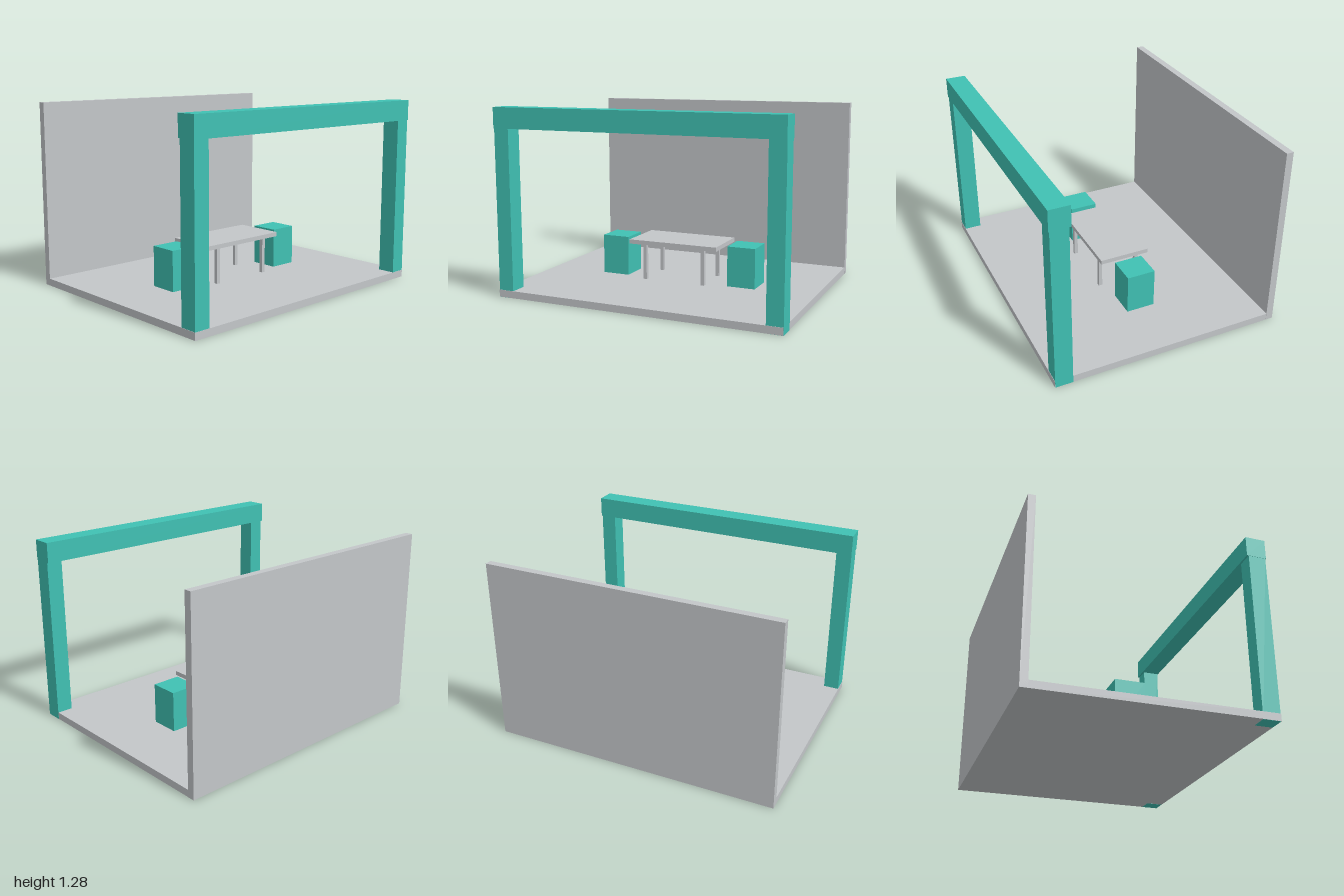
import * as THREE from 'three';

export function createModel() {
  const model = new THREE.Group();
  model.name = 'openRoom';

  const teal = new THREE.MeshStandardMaterial({ color: 0x40c1b3 });
  teal.name = 'teal';
  const gray = new THREE.MeshStandardMaterial({ color: 0xc3c6c9 });
  gray.name = 'lightGray';

  // Box given by its extents along each axis
  function box(name, material, [x0, x1], [y0, y1], [z0, z1], parent = model) {
    const mesh = new THREE.Mesh(new THREE.BoxGeometry(x1 - x0, y1 - y0, z1 - z0), material);
    mesh.position.set((x0 + x1) / 2, (y0 + y1) / 2, (z0 + z1) / 2);
    mesh.name = name;
    parent.add(mesh);
    return mesh;
  }

  // Floor slab and back wall
  box('floor', gray, [-1, 0.999], [0.001, 0.05], [-0.8, 0.8]);
  box('backWall', gray, [-1, 1], [0.001, 1.28], [-0.8, -0.75]);

  // Front gate: two posts set through the floor, carrying a wider beam
  const gate = new THREE.Group();
  gate.name = 'frontGate';
  model.add(gate);
  box('leftPost', teal, [0.89, 1], [0, 1.145], [0.678, 0.798], gate);
  box('rightPost', teal, [-0.998, -0.89], [0, 1.145], [0.678, 0.798], gate);
  box('beam', teal, [-1, 1], [1.143, 1.283], [0.665, 0.803], gate);

  // Table with four thin legs
  const table = new THREE.Group();
  table.name = 'table';
  model.add(table);
  box('tableTop', gray, [-0.331, 0.327], [0.303, 0.333], [-0.181, 0.176], table);
  for (const x of [-0.222, 0.217]) {
    for (const z of [-0.142, 0.138]) {
      box('tableLeg', gray, [x - 0.013, x + 0.013], [0.05, 0.303], [z - 0.013, z + 0.013], table);
    }
  }

  // Block stools at both ends of the table
  for (const [name, x] of [['leftStool', 0.48], ['rightStool', -0.482]]) {
    box(name, teal, [x - 0.1, x + 0.1], [0.05, 0.33], [-0.103, 0.097]);
  }

  return model;
}
